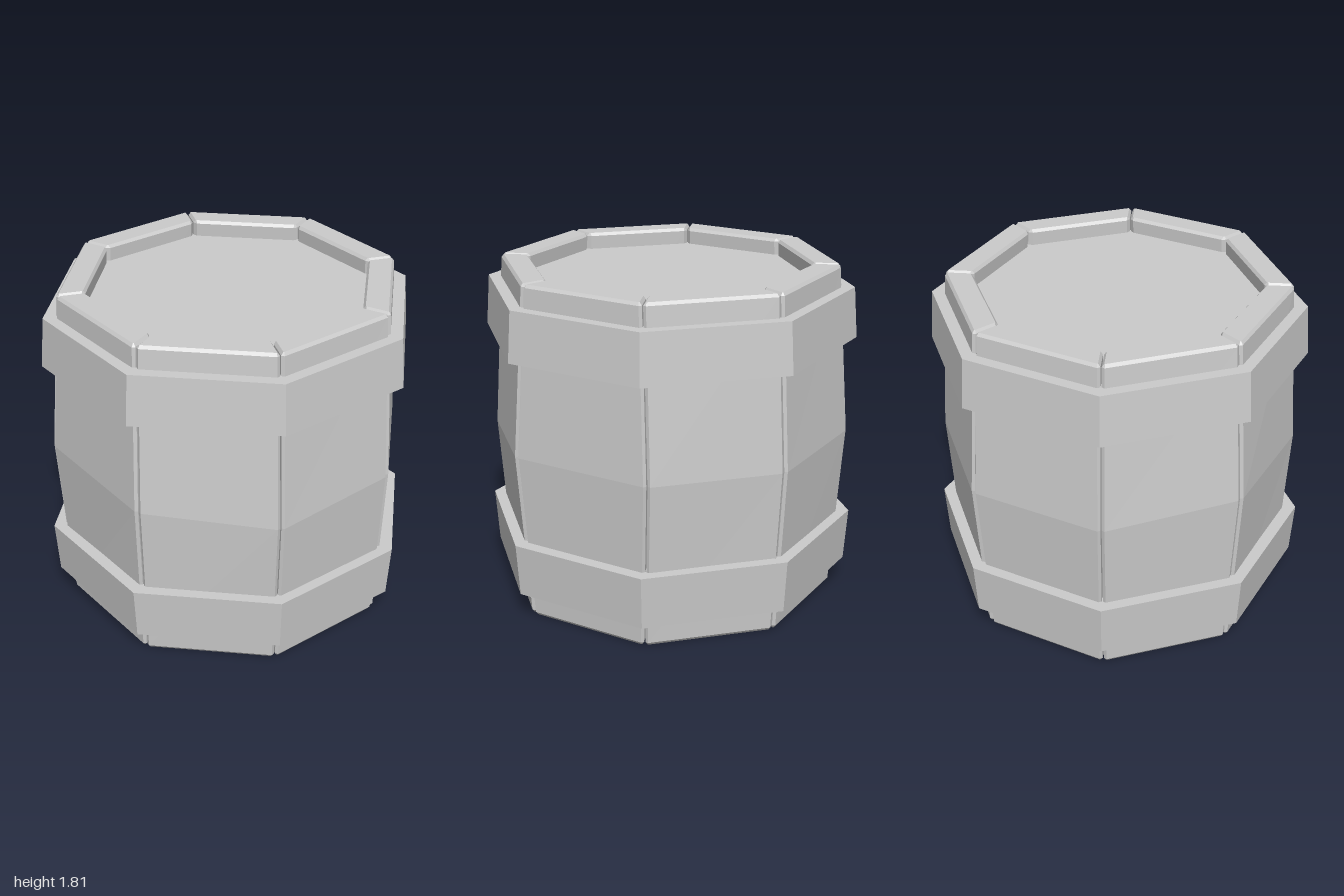
import * as THREE from 'three';

const SIDES = 8, HEIGHT = 1.81, BEVEL = 0.016, GAP = 0.003;
const END_RADIUS = 0.908, INNER_RATIO = 0.835;

// Belly corner of each seam [x, y, z], counterclockwise from the front; slightly uneven
const BELLY = [
  [0, 0.86, 0.97], [0.66, 0.9, 0.7], [0.965, 0.9, -0.025], [0.68, 0.9, -0.685],
  [0, 0.9, -0.972], [-0.685, 0.9, -0.685], [-0.972, 0.94, 0], [-0.67, 0.9, 0.69],
].map((p) => new THREE.Vector3(...p));

const endCorner = (i, y) => {
  const a = (i / SIDES) * Math.PI * 2;
  return new THREE.Vector3(Math.sin(a) * END_RADIUS, y, Math.cos(a) * END_RADIUS);
};

const inner = (p) => new THREE.Vector3(p.x * INNER_RATIO, p.y, p.z * INNER_RATIO);

// Stave cross-section: a quad inset by `inset`, with its corners cut by `cut`
function section(a, b, inset, cut) {
  const quad = [a, b, inner(b), inner(a)];
  const side = b.clone().sub(a).normalize().multiplyScalar(GAP);
  [1, -1, -1, 1].forEach((s, i) => { quad[i] = quad[i].clone().addScaledVector(side, s); });
  return quad.flatMap((p, i) => {
    const prev = quad[(i + 3) % 4].clone().sub(p).normalize();
    const next = quad[(i + 1) % 4].clone().sub(p).normalize();
    const base = p.clone().addScaledVector(prev, inset).addScaledVector(next, inset);
    return [base.clone().addScaledVector(prev, cut), base.clone().addScaledVector(next, cut)];
  });
}

// Skin a stack of equal cross-sections and cap both ends
function loft(loops) {
  const pos = [];
  const tri = (...pts) => pts.forEach((p) => pos.push(p.x, p.y, p.z));
  const n = loops[0].length;
  for (let k = 0; k < loops.length - 1; k++) {
    const lo = loops[k], hi = loops[k + 1];
    for (let j = 0; j < n; j++) {
      const m = (j + 1) % n;
      tri(lo[j], lo[m], hi[m]);
      tri(lo[j], hi[m], hi[j]);
    }
  }
  const bottom = loops[0], top = loops[loops.length - 1];
  for (let j = 1; j < n - 1; j++) {
    tri(bottom[0], bottom[j + 1], bottom[j]);
    tri(top[0], top[j], top[j + 1]);
  }
  const g = new THREE.BufferGeometry();
  g.setAttribute('position', new THREE.Float32BufferAttribute(pos, 3));
  g.computeVertexNormals();
  return g;
}

function staveGeometry(i) {
  const j = (i + 1) % SIDES;
  const atEnd = (y, inset, cut) => section(endCorner(i, y), endCorner(j, y), inset, cut);
  return loft([
    atEnd(0, BEVEL * 0.8, 0.004),
    atEnd(BEVEL, 0, BEVEL),
    section(BELLY[i], BELLY[j], 0, BEVEL),
    atEnd(HEIGHT - BEVEL, 0, BEVEL),
    atEnd(HEIGHT, BEVEL * 0.8, 0.004),
  ]);
}

// Closed eight-sided band with a slightly sloping outer face
function hoopGeometry(y0, r0, y1, r1) {
  const inside = 0.87;
  const profile = [[r0, y0], [r1, y1], [inside, y1], [inside, y0], [r0, y0]]
    .map(([r, y]) => new THREE.Vector2(r, y));
  const g = new THREE.LatheGeometry(profile, SIDES).toNonIndexed();
  g.computeVertexNormals();
  return g;
}

export function createModel() {
  const barrel = new THREE.Group();
  barrel.name = 'barrel';
  const material = new THREE.MeshStandardMaterial({ color: 0xcccccc, flatShading: true });
  const add = (parent, name, geometry) => {
    const mesh = new THREE.Mesh(geometry, material);
    mesh.name = name;
    parent.add(mesh);
    return mesh;
  };

  // Staves around the wall
  const staves = new THREE.Group();
  staves.name = 'staves';
  barrel.add(staves);
  for (let i = 0; i < SIDES; i++) add(staves, `stave${i + 1}`, staveGeometry(i));

  // Recessed lid and base
  const disc = new THREE.CylinderGeometry(0.79, 0.79, 0.06, SIDES);
  add(barrel, 'lid', disc).position.y = HEIGHT - 0.12;
  add(barrel, 'base', disc).position.y = 0.12;

  // Hoops, both widest towards the belly
  add(barrel, 'lowerHoop', hoopGeometry(0.14, 0.98, 0.425, 1));
  add(barrel, 'upperHoop', hoopGeometry(1.42, 1, 1.69, 0.98));

  return barrel;
}
